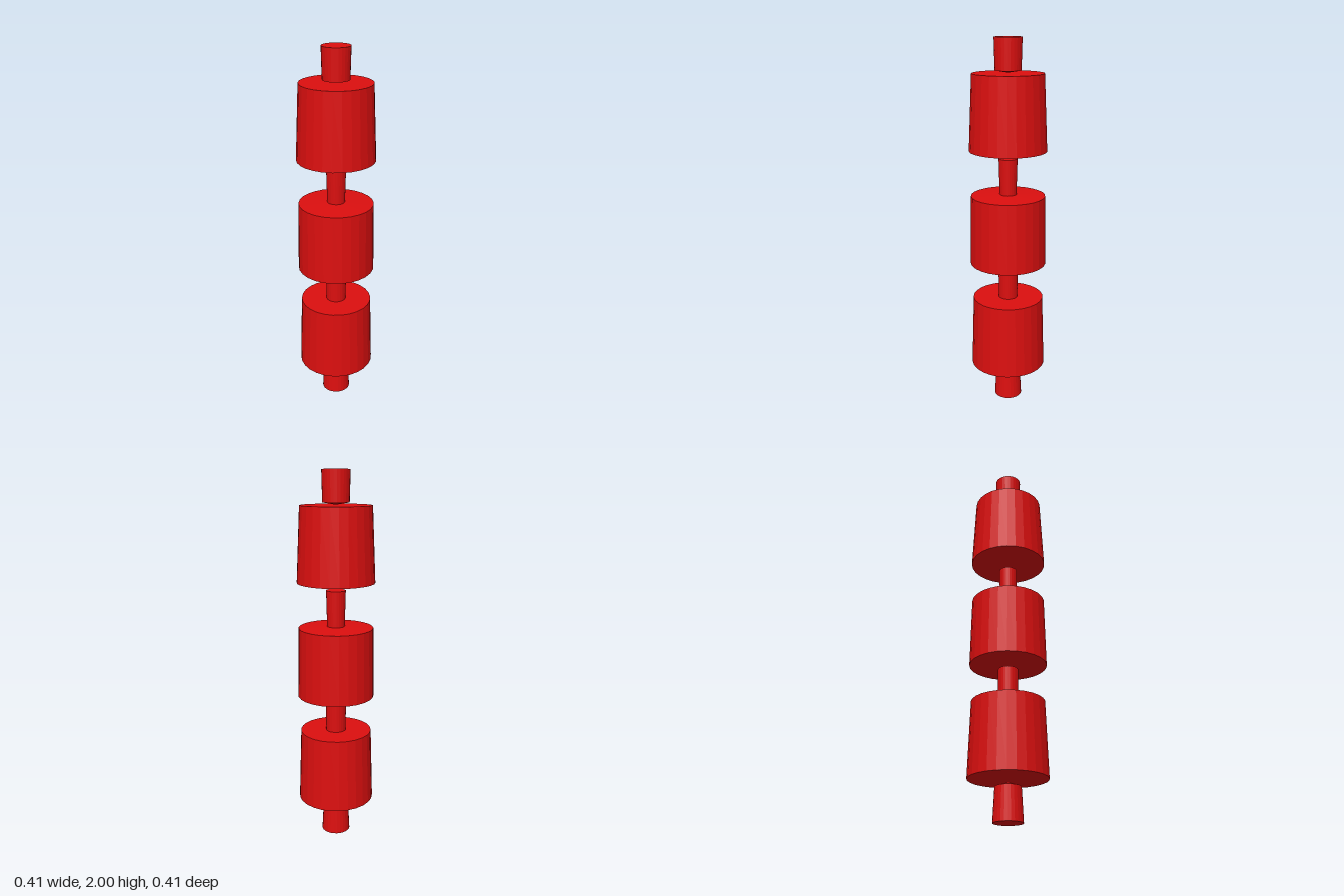
import * as THREE from 'three';

const SIDES = 26;

// Faceted solid of revolution: low centre, bottom rim, top rim, high centre
function turned(name, [lowY, bottomY, bottomR, topY, topR, highY], material) {
  const profile = [[0, lowY], [bottomR, bottomY], [topR, topY], [0, highY]]
    .map(([r, y]) => new THREE.Vector2(r, y));
  const geometry = new THREE.LatheGeometry(profile, SIDES, Math.PI / 2).toNonIndexed();
  geometry.computeVertexNormals();
  const mesh = new THREE.Mesh(geometry, material);
  mesh.name = name;
  return mesh;
}

export function createModel() {
  const model = new THREE.Group();
  model.name = 'stackedColumn';
  const red = new THREE.MeshStandardMaterial({ color: 0xdc0f0f });
  red.name = 'red';

  // Alternating thin posts and wide drums, from the bottom up
  const parts = {
    bottomPost: [0, 0, 0.078, 0.175, 0.069, 0.198],
    bottomDrum: [0.203, 0.21, 0.206, 0.608, 0.193, 0.608],
    lowerPost: [0.608, 0.608, 0.054, 0.79, 0.055, 0.805],
    middleDrum: [0.81, 0.81, 0.206, 1.187, 0.199, 1.197],
    upperPost: [1.19, 1.19, 0.047, 1.387, 0.052, 1.387],
    topDrum: [1.412, 1.428, 0.206, 1.823, 0.188, 1.823],
    topPost: [1.825, 1.837, 0.07, 2, 0.074, 2],
  };
  for (const [name, sizes] of Object.entries(parts)) model.add(turned(name, sizes, red));
  return model;
}
